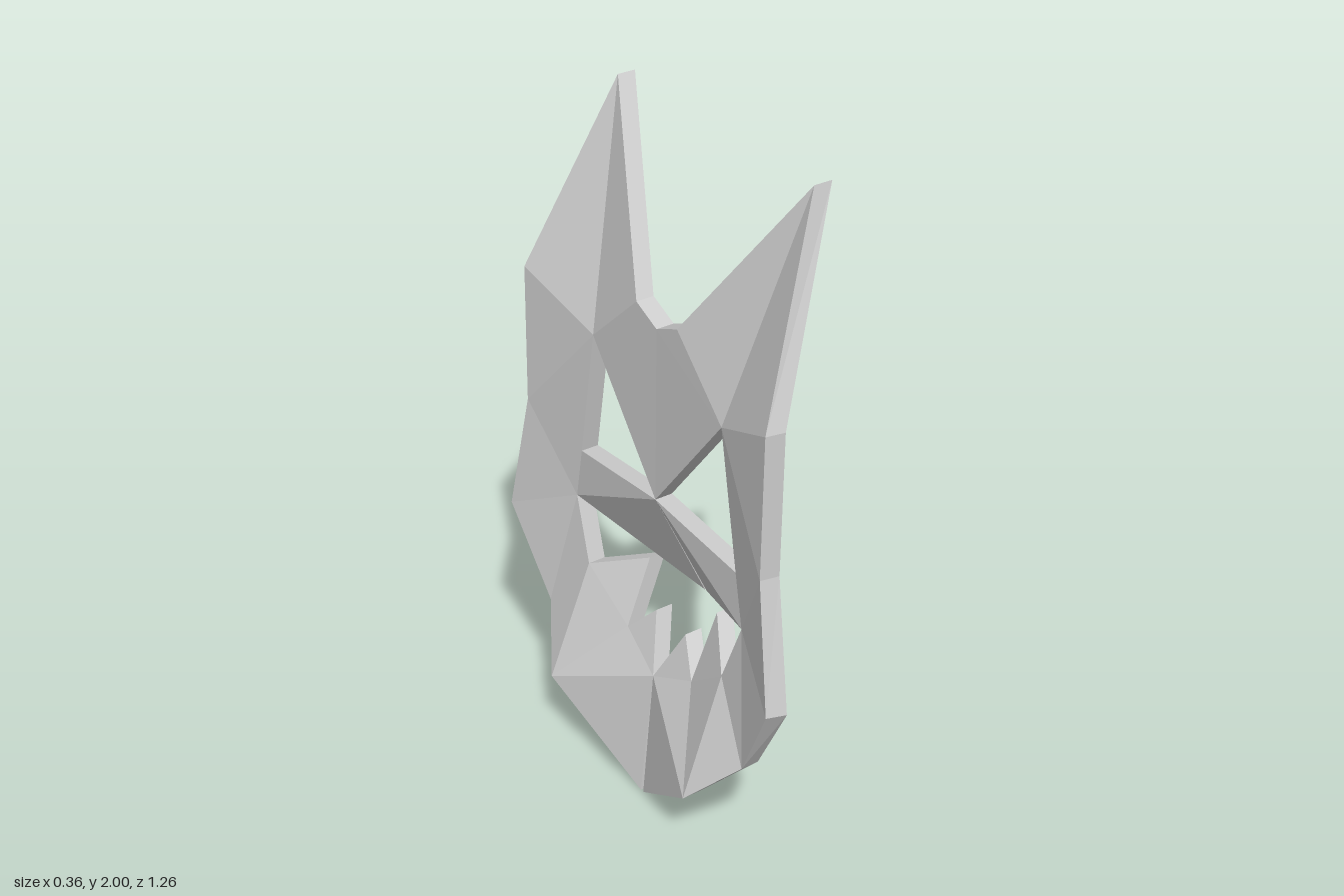
import * as THREE from 'three';

// Mask faces +x. Corners of the +z half as [z, y, x of the outer face].
const P = [
  [0, 1.49, 0.015], [0.09, 1.53, 0.015], [0.41, 2, 0.178], [0.55, 1.46, -0.045], // 0-3 brow, ear
  [0.55, 1.05, -0.05], [0.63, 0.68, -0.075], [0.47, 0.405, -0.04], [0.33, 0.25, -0.13], // 4-7 outer rim
  [0.006, 0.005, -0.04], [0, 0.4, 0], [0.07, 0.56, 0.06], [0.155, 0.47, 0.02], // 8-11 chin, front tooth
  [0.16, 0.67, 0.1], [0.32, 0.6, 0], [0.39, 0.79, 0.01], [0.36, 0.95, 0.01], // 12-15 side tooth, mouth, eye
  [0.29, 1.345, 0.01], [0, 0.98, 0.01], [0.005, 0.64, 0.178], // 16-18 eye top, nose bridge, nose tip
];

const PARTS = {
  Forehead: [[0, 1, 16], [0, 16, 17]],
  Ear: [[1, 2, 16], [2, 3, 16]],
  Cheek: [[3, 4, 16], [4, 15, 16], [4, 14, 15], [4, 5, 14], [5, 6, 14], [6, 13, 14]],
  Jaw: [[6, 7, 13], [7, 11, 13], [11, 12, 13], [7, 9, 11], [9, 10, 11], [7, 8, 9]],
  Muzzle: [[15, 17, 14], [17, 18, 14]],
};

const THICK = 0.053;
const outer = (i) => [P[i][2], P[i][1], P[i][0]];
// inner face sits behind the outer; the nose tip also drops and the rim tucks in
const inner = (i) => [
  P[i][2] - THICK,
  P[i][1] - (i === 18 ? 0.02 : 0),
  P[i][0] - (i === 5 ? 0.018 : i === 3 || i === 4 ? 0.01 : 0),
];

// order corners so that the outer face looks toward +x
function orient([a, b, c]) {
  const [A, B, C] = [P[a], P[b], P[c]];
  const nx = (B[1] - A[1]) * (C[0] - A[0]) - (B[0] - A[0]) * (C[1] - A[1]);
  return nx > 0 ? [a, b, c] : [a, c, b];
}

const edgesOf = ([a, b, c]) => [[a, b], [b, c], [c, a]];

// outer face, inner face and a wall along every open edge
function panel(tris, used, side) {
  const pos = [];
  const add = (p, q, r) => {
    for (const v of side > 0 ? [p, q, r] : [p, r, q]) pos.push(v[0], v[1], v[2] * side);
  };
  for (const t of tris) {
    const [a, b, c] = t;
    add(outer(a), outer(b), outer(c));
    add(inner(a), inner(c), inner(b));
    for (const [i, j] of edgesOf(t)) {
      const seam = P[i][0] === 0 && P[j][0] === 0 && !(i === 9 && j === 9);
      const onBrow = i + j === 1;
      if (used.has(j + '_' + i) || (seam && !onBrow)) continue;
      add(outer(i), inner(i), inner(j));
      add(outer(i), inner(j), outer(j));
    }
  }
  const g = new THREE.BufferGeometry();
  g.setAttribute('position', new THREE.Float32BufferAttribute(pos, 3));
  g.computeVertexNormals();
  return g;
}

export function createModel() {
  const mask = new THREE.Group();
  mask.name = 'mask';
  const material = new THREE.MeshStandardMaterial({
    color: 0xcccccc, flatShading: true, side: THREE.DoubleSide,
  });
  const used = new Set();
  const parts = Object.entries(PARTS).map(([name, tris]) => [name, tris.map(orient)]);
  for (const [, tris] of parts)
    for (const t of tris) for (const [i, j] of edgesOf(t)) used.add(i + '_' + j);

  for (const [name, tris] of parts) {
    for (const side of [1, -1]) {
      const mesh = new THREE.Mesh(panel(tris, used, side), material);
      mesh.name = (side > 0 ? 'left' : 'right') + name;
      mask.add(mesh);
    }
  }
  return mask;
}
